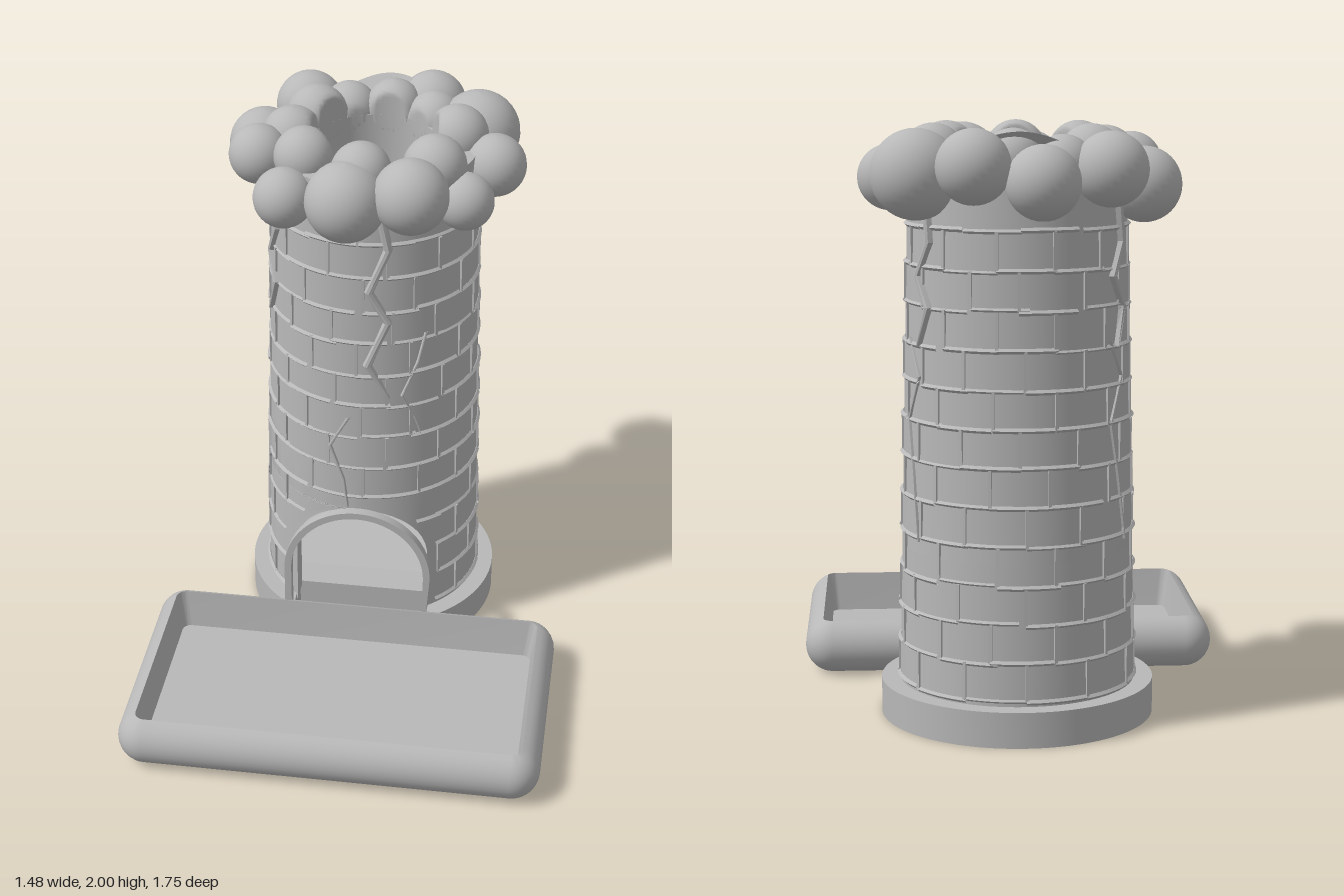
import * as THREE from 'three';
import { toCreasedNormals } from 'three/addons/utils/BufferGeometryUtils.js';

const CZ = -0.38;      // tower axis
const BORE = 0.22;     // chute radius
const DOOR = 0.245, SPRING = 0.345, DOOR_TOP = SPRING + DOOR;

// Surface grid from fn(u, v) -> [x, y, z]; faces outward when u runs right and v runs up
function grid(nu, nv, fn, crease = 0.6) {
  const pos = [], index = [];
  for (let j = 0; j <= nv; j++) for (let i = 0; i <= nu; i++) pos.push(...fn(i / nu, j / nv, i, j));
  for (let j = 0; j < nv; j++) for (let i = 0; i < nu; i++) {
    const a = j * (nu + 1) + i, b = a + nu + 1;
    index.push(a, a + 1, b + 1, a, b + 1, b);
  }
  const g = new THREE.BufferGeometry();
  g.setAttribute('position', new THREE.Float32BufferAttribute(pos, 3));
  g.setIndex(index);
  return toCreasedNormals(g, crease);
}

const polar = (r, a, y) => [r * Math.sin(a), y, CZ + r * Math.cos(a)];
const outerR = y => 0.402 - 0.021 * y;
const innerR = y => y > 0.75 ? BORE : y < 0.5 ? 0.33 : 0.33 - (y - 0.5) * 0.44;
const doorX = y => y < SPRING ? DOOR : Math.sqrt(Math.max(0, DOOR * DOOR - (y - SPRING) ** 2));

let seed = 7;
const rand = () => { seed = (seed * 16807) % 2147483647; return seed / 2147483647 - 0.5; };

export function createModel() {
  const model = new THREE.Group();
  const stone = new THREE.MeshStandardMaterial({ color: 0xb8b8b8, side: THREE.DoubleSide });
  stone.name = 'grey stone';
  const add = (name, geometry, parent = model) => {
    const m = new THREE.Mesh(geometry, stone);
    m.name = name;
    parent.add(m);
    return m;
  };
  const group = name => {
    const g = new THREE.Group();
    g.name = name;
    model.add(g);
    return g;
  };

  // Tower walls, with rows packed around the arched doorway
  const rows = [0.1, 0.22, SPRING];
  for (let i = 1; i <= 12; i++) rows.push(SPRING + DOOR * Math.sin(i / 12 * Math.PI / 2));
  rows.push(0.75, 1, 1.4, 1.7, 1.88);
  const wall = (rFn, flip) => grid(80, rows.length - 1, (u, v, i, j) => {
    const y = rows[j], r = rFn(y), a = Math.asin(doorX(y) / r);
    const t = flip ? 1 - u : u;
    return polar(r, a + t * (2 * Math.PI - 2 * a), y);
  });
  add('towerWall', wall(outerR, false));
  add('chuteWall', wall(innerR, true));
  for (const s of [-1, 1]) add('doorReveal', grid(1, 14, (u, v, i, j) => {
    const y = rows[j], r = i ? innerR(y) : outerR(y);
    return polar(r, s * Math.asin(doorX(y) / r), y);
  }));
  add('wallTop', new THREE.RingGeometry(BORE, outerR(1.88), 48).rotateX(-Math.PI / 2).translate(0, 1.88, CZ));

  // Raised mortar between staggered bricks
  const mortar = group('mortar');
  const COUNT = 12, ROW = 0.1275, step = 2 * Math.PI / COUNT;
  for (let k = 0; k < 13; k++) {
    const y = 0.135 + k * ROW, r = outerR(y);
    for (let n = 0; n < COUNT; n++) {
      const a = (n + (k % 2) * 0.5 + rand() * 0.2) * step;
      const yj = y + rand() * 0.012, rj = r + rand() * 0.006;
      // split each course joint in pieces, leaving the doorway clear
      const pieces = 4, part = step / pieces;
      for (let p = 0; p < pieces; p++) {
        const mid = a + (p + 0.5) * part;
        if (Math.cos(mid) > 0 && Math.abs(Math.sin(mid) * r) < doorX(y) + 0.04 && y < DOOR_TOP) continue;
        const bed = new THREE.TorusGeometry(rj, 0.009, 4, 2, part * 1.02);
        bed.rotateX(Math.PI / 2).rotateY(a + (p + 1) * part - Math.PI / 2).translate(0, yj, CZ);
        add('bedJoint', toCreasedNormals(bed, 0.6), mortar);
      }
      const ym = y + ROW / 2;
      if (k === 12 || (Math.cos(a) > 0 && Math.abs(Math.sin(a) * r) < DOOR + 0.03 && y < DOOR_TOP - 0.02)) continue;
      const joint = add('headJoint', new THREE.BoxGeometry(0.011, ROW, 0.014), mortar);
      joint.position.set(...polar(outerR(ym), a, ym));
      joint.rotation.y = a;
    }
  }

  // Zigzag drips and thin cracks: a ridge [sideways, height] following the wall
  const ridge = (name, angle, pts, w, h) => add(name, grid(4, pts.length - 1, (u, v, i, j) => {
    const [s, y] = pts[pts.length - 1 - j], r = outerR(y);
    const lift = [-0.01, h, h * 1.2, h, -0.01][i];
    const taper = j === 0 ? 0.3 : 1;
    return polar(r + lift, angle + (s + (u - 0.5) * w * taper) / r, y);
  }, 0.3));
  const drip = [[0, 1.8], [0.03, 1.65], [-0.035, 1.49], [0.03, 1.37], [-0.04, 1.2], [0.035, 1.07]];
  const shortDrip = [[0.01, 1.78], [0.03, 1.62], [-0.03, 1.51], [0.03, 1.41], [-0.015, 1.28]];
  ridge('frontDrip', 0.18, drip, 0.042, 0.016);
  for (const a of [-1.1, 2.13, -2.15]) ridge('sideDrip', a, shortDrip, 0.038, 0.016);
  const crack = [[0.04, 1.31], [0.01, 1.2], [-0.05, 1.07], [0, 0.97], [0.02, 0.9]];
  ridge('frontCrack', 0.53, crack, 0.016, 0.007);
  ridge('doorCrack', -0.18, [[0.03, 0.98], [-0.04, 0.85], [0.01, 0.72], [0.03, 0.6]], 0.02, 0.008);
  const longCrack = [[-0.03, 1.3], [0.04, 1.18], [-0.03, 1.03], [0.01, 0.85], [0.05, 0.63]];
  for (const a of [1.98, -2.2]) ridge('sideCrack', a, longCrack, 0.016, 0.008);
  ridge('lowCrack', -1.35, [[0, 0.75], [0.03, 0.62], [-0.02, 0.5], [0.01, 0.36]], 0.016, 0.008);

  // Round base with a notch at the doorway
  const R = 0.463, half = Math.asin(0.25 / R);
  const plan = new THREE.Shape();
  plan.absarc(0, 0, R, -Math.PI / 2 + half, 1.5 * Math.PI - half, false);
  plan.lineTo(-0.25, -0.23);
  plan.lineTo(0.25, -0.23);
  const base = new THREE.ExtrudeGeometry(plan, { depth: 0.12, bevelEnabled: false, curveSegments: 64 });
  add('base', toCreasedNormals(base.rotateX(-Math.PI / 2).translate(0, 0, CZ), 0.6));

  // Sloping ramp at the bottom of the chute
  add('ramp', grid(24, 1, (u, v) => {
    const x = (u - 0.5) * 0.6;
    const back = CZ - Math.sqrt(0.33 * 0.33 - x * x);
    const z = v ? back : -0.27;
    return [x, 0.12 + (-0.27 - z) * 0.69, z];
  }));

  // Arched door frame standing clear of the wall
  const frame = new THREE.Shape();
  frame.moveTo(0.27, 0);
  frame.absarc(0, 0.34, 0.27, 0, Math.PI, false);
  frame.lineTo(-0.27, 0);
  frame.lineTo(-DOOR, 0);
  frame.absarc(0, 0.34, DOOR, Math.PI, 0, true);
  frame.lineTo(DOOR, 0);
  const arch = new THREE.ExtrudeGeometry(frame, { depth: 0.035, bevelEnabled: false, curveSegments: 32 });
  add('doorFrame', toCreasedNormals(arch.translate(0, 0, 0.032), 0.6));

  // Tray: rounded-rectangle rings following a [inset, height] profile
  const profile = [[0.43, 0], [0.1, 0]];
  for (let i = 1; i <= 14; i++) {
    const t = -Math.PI / 2 + i / 14 * (Math.PI / 2 + 1.21);
    profile.push([0.1 - 0.1 * Math.cos(t), 0.1 + 0.1 * Math.sin(t)]);
  }
  profile.push([0.085, 0.05], [0.43, 0.05]);
  const CORNER = 8;
  add('tray', grid(4 * (CORNER + 1), profile.length - 1, (u, v, i, j) => {
    const [inset, y] = profile[j];
    const k = i % (4 * (CORNER + 1)), q = Math.floor(k / (CORNER + 1));
    const a = (q + (k % (CORNER + 1)) / CORNER) * Math.PI / 2;
    const r = Math.max(0.1 - inset, inset > 0.4 ? 0 : 0.03);
    const sx = q < 2 ? 1 : -1, sz = q === 0 || q === 3 ? 1 : -1;
    return [sx * (0.74 - inset - r) + r * Math.sin(a), y, 0.442 + sz * (0.434 - inset - r) + r * Math.cos(a)];
  }));

  // Cloud crown: [x, y, z, radius], hollowed by the chute
  const crown = group('cloudCrown');
  const puffs = [
    [-0.05, 1.825, -0.02, 0.14], [0.17, 1.86, -0.02, 0.13], [-0.27, 1.8, -0.07, 0.105],
    [-0.39, 1.86, -0.27, 0.105], [-0.41, 1.8, -0.49, 0.125], [-0.28, 1.86, -0.7, 0.122],
    [-0.06, 1.82, -0.755, 0.122], [0.16, 1.87, -0.74, 0.122], [0.34, 1.84, -0.6, 0.148],
    [0.42, 1.82, -0.38, 0.11], [0.34, 1.785, -0.16, 0.1],
    [-0.23, 1.89, -0.55, 0.11], [0.03, 1.89, -0.66, 0.1], [0.23, 1.89, -0.2, 0.11],
    [-0.22, 1.895, -0.2, 0.105], [-0.01, 1.895, -0.11, 0.105], [0.28, 1.89, -0.45, 0.11],
    [-0.29, 1.88, -0.38, 0.11], [0.18, 1.87, -0.62, 0.1], [-0.13, 1.87, -0.66, 0.1]
  ];
  for (const [x, y, z, r] of puffs) {
    const g = new THREE.SphereGeometry(r, 32, 20).translate(x, y, z);
    const p = g.attributes.position;
    for (let i = 0; i < p.count; i++) {
      const px = p.getX(i), pz = p.getZ(i) - CZ, d = Math.hypot(px, pz);
      if (d < BORE) {
        p.setX(i, px * BORE / d);
        p.setZ(i, CZ + pz * BORE / d);
      }
    }
    g.computeVertexNormals();
    add('puff', g, crown);
  }

  // Thin curved shard at the back of the crown
  add('shard', grid(20, 2, (u, v) => {
    const c = Math.sin(u * Math.PI);
    return [0.015 + (u - 0.5) * 0.39 * (1 - 0.25 * (1 - v) * c), 1.92 + 0.06 * v * c, -0.68 - 0.055 * c * v + 0.01 * (1 - v) - 0.01 * c];
  }));
  return model;
}
